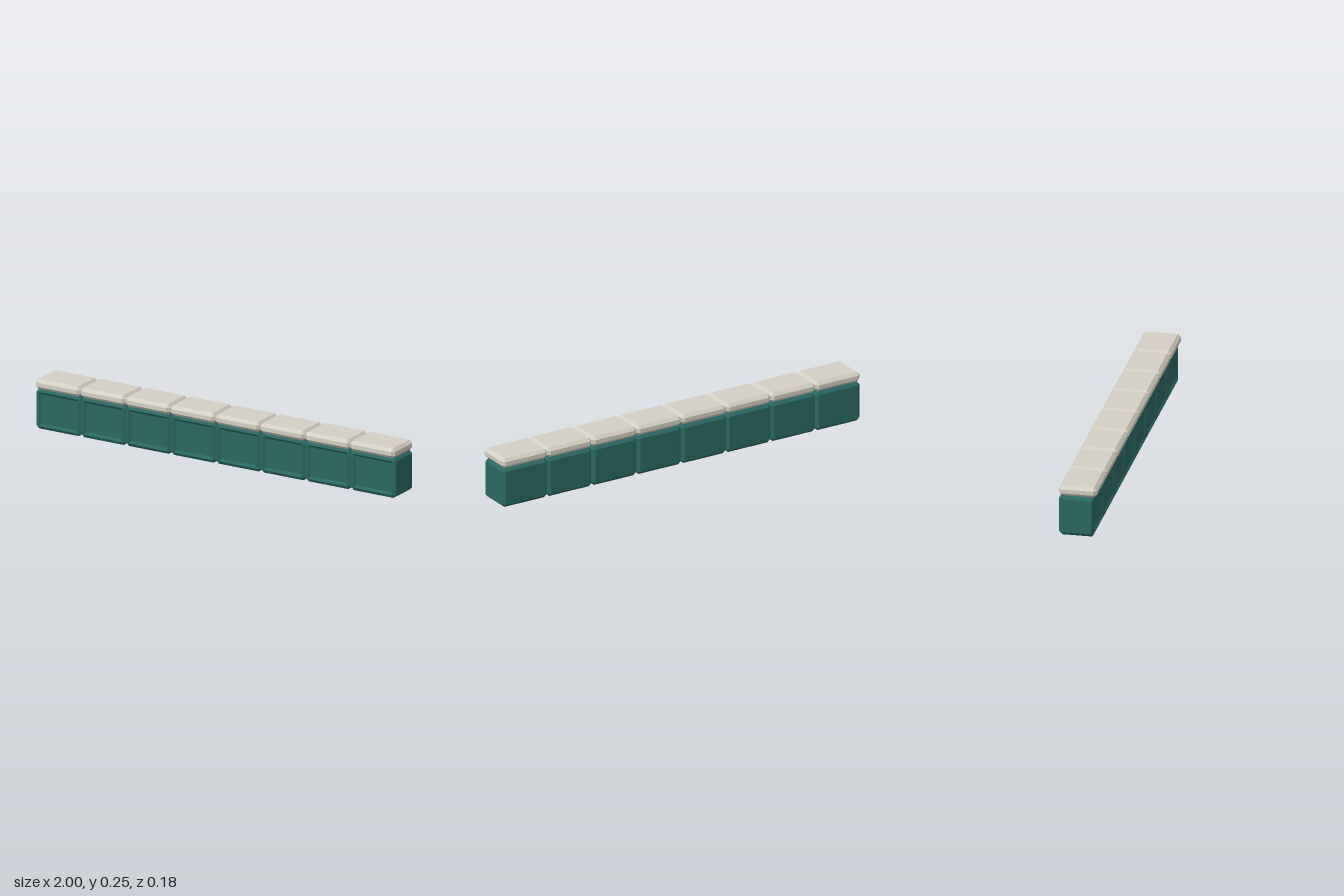
import * as THREE from 'three';

const COUNT = 8, WIDTH = 2 / COUNT, BEVEL = 0.015;

// Rectangle ring at depth z, moved in by `inset`, with corners cut by `cut` (always 8 points).
function ring(w, h, z, inset, cut) {
  const x = w / 2 - inset, y = h / 2 - inset;
  return [
    [x, -y + cut], [x, y - cut], [x - cut, y], [-x + cut, y],
    [-x, y - cut], [-x, -y + cut], [-x + cut, -y], [x - cut, -y],
  ].map(([px, py]) => new THREE.Vector3(px, py, z));
}

// Flat-faced skin through rings ordered from back to front, capped at both ends.
function loft(rings) {
  const points = [];
  const tri = (a, b, c) => {
    if (new THREE.Triangle(a, b, c).getArea() > 1e-8) points.push(a, b, c);
  };
  for (let k = 0; k < rings.length - 1; k++) {
    for (let i = 0; i < 8; i++) {
      const j = (i + 1) % 8;
      const a = rings[k][i], b = rings[k][j], c = rings[k + 1][j], d = rings[k + 1][i];
      tri(a, b, c);
      tri(a, c, d);
    }
  }
  const back = rings[0], front = rings[rings.length - 1];
  for (let i = 1; i < 7; i++) {
    tri(back[0], back[i + 1], back[i]);
    tri(front[0], front[i], front[i + 1]);
  }
  const geometry = new THREE.BufferGeometry().setFromPoints(points);
  geometry.computeVertexNormals();
  return geometry;
}

// Box with bevelled edges, from z0 (back) to z1 (front).
function bevelledRings(w, h, z0, z1, frontBevel) {
  return [
    ring(w, h, z0, BEVEL, 0),
    ring(w, h, z0 + BEVEL, 0, BEVEL),
    ring(w, h, z1 - frontBevel, 0, BEVEL),
    ring(w, h, z1, BEVEL, 0),
  ];
}

export function createModel() {
  const group = new THREE.Group();
  group.name = 'counterRow';

  const bodyMaterial = new THREE.MeshStandardMaterial({ color: 0x2b6762, flatShading: true });
  const topMaterial = new THREE.MeshStandardMaterial({ color: 0xd3cfc3, flatShading: true });

  // Cabinet body, with a sunken front panel inside a sloped rim
  const bodyGeometry = loft([
    ...bevelledRings(WIDTH, 0.2, -0.0915, 0.078, 0.009),
    ring(WIDTH, 0.2, 0.069, BEVEL + 0.012, 0),
  ]);
  // Worktop slab
  const topGeometry = loft(bevelledRings(WIDTH, 0.05, -0.0915, 0.0915, BEVEL));

  for (let i = 0; i < COUNT; i++) {
    const unit = new THREE.Group();
    unit.name = `counterUnit${i + 1}`;
    unit.position.x = (i - (COUNT - 1) / 2) * WIDTH;

    const body = new THREE.Mesh(bodyGeometry, bodyMaterial);
    body.name = 'cabinetBody';
    body.position.y = 0.1;

    const top = new THREE.Mesh(topGeometry, topMaterial);
    top.name = 'worktop';
    top.position.y = 0.225;

    unit.add(body, top);
    group.add(unit);
  }
  return group;
}
